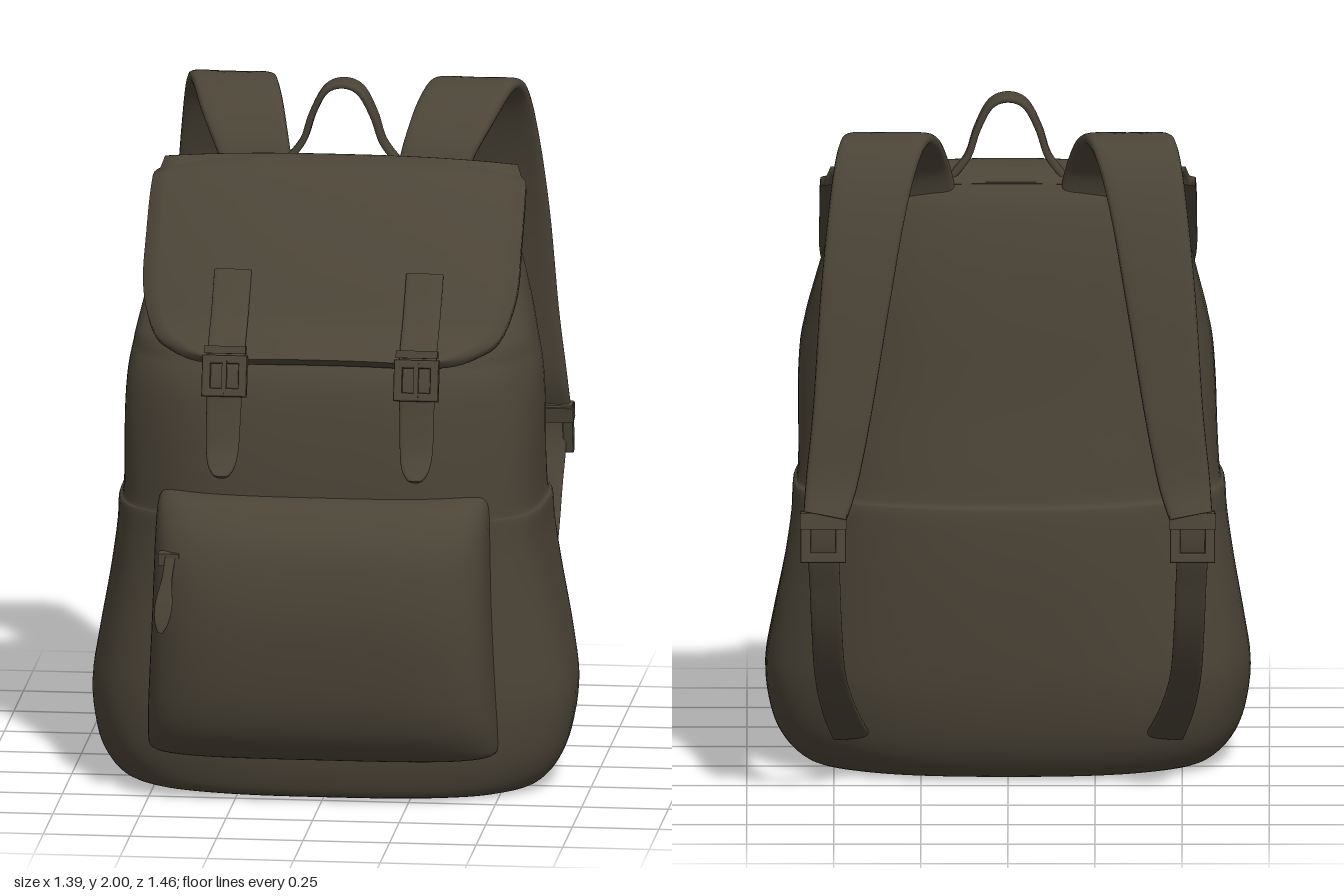
import * as THREE from 'three';

const fabric = new THREE.MeshStandardMaterial({ color: 0x4b4437 });
fabric.name = 'dark olive fabric';
const V = (x, y, z) => new THREE.Vector3(x, y, z);

// Smooth a table of section values into `steps` rows per interval
function smoothRows(rows, steps) {
  const out = [];
  for (let i = 0; i < rows.length - 1; i++) {
    const [a, b, c, d] = [rows[Math.max(i - 1, 0)], rows[i], rows[i + 1], rows[Math.min(i + 2, rows.length - 1)]];
    for (let s = 0; s < steps; s++) {
      const t = s / steps;
      out.push(b.map((_, k) => 0.5 * (2 * b[k] + (c[k] - a[k]) * t
        + (2 * a[k] - 5 * b[k] + 4 * c[k] - d[k]) * t * t
        + (3 * b[k] - a[k] - 3 * c[k] + d[k]) * t * t * t)));
    }
  }
  out.push(rows[rows.length - 1]);
  return out;
}

// Skin closed rings of points, with end caps, facing outwards
function loft(rings) {
  const n = rings[0].length, pts = rings.flat(), idx = [];
  for (let i = 0; i < rings.length - 1; i++) {
    for (let j = 0; j < n; j++) {
      const k = (j + 1) % n, a = i * n, b = a + n;
      idx.push(a + j, a + k, b + k, a + j, b + k, b + j);
    }
  }
  [rings[0], rings[rings.length - 1]].forEach((ring, end) => {
    const start = pts.length;
    pts.push(...ring, ring.reduce((s, p) => s.add(p), V(0, 0, 0)).divideScalar(n));
    for (let j = 0; j < n; j++) {
      const a = start + j, b = start + (j + 1) % n;
      idx.push(start + n, end ? a : b, end ? b : a);
    }
  });
  let volume = 0;
  for (let i = 0; i < idx.length; i += 3) {
    volume += pts[idx[i]].dot(V(0, 0, 0).crossVectors(pts[idx[i + 1]], pts[idx[i + 2]]));
  }
  if (volume < 0) idx.reverse();
  const g = new THREE.BufferGeometry().setFromPoints(pts);
  g.setIndex(idx);
  g.computeVertexNormals();
  return g;
}

const power = (v, n) => Math.sign(v) * Math.abs(v) ** (2 / n);

// Level section with separate fullness at the front and back
function section(y, w, zf, zb, nf, nb, count, wobble = 0) {
  return Array.from({ length: count }, (_, j) => {
    const t = j / count * Math.PI * 2, n = Math.sin(t) > 0 ? nf : nb;
    const s = 1 + wobble * (Math.sin(5 * t + y * 6) + Math.sin(9 * t - y * 4)) * Math.abs(Math.cos(t));
    return V(w * s * power(Math.cos(t), n), y, (zf + zb) / 2 + (zf - zb) / 2 * s * power(Math.sin(t), n));
  });
}

// Strap of changing width along a path; points are [x, y, z, width]
function ribbon(points, thick, axis = V(1, 0, 0), steps = 8) {
  const rows = smoothRows(points, steps);
  return loft(rows.map((r, i) => {
    const p = V(r[0], r[1], r[2]), a = rows[Math.max(i - 1, 0)], b = rows[Math.min(i + 1, rows.length - 1)];
    const T = V(b[0] - a[0], b[1] - a[1], b[2] - a[2]).normalize();
    const W = axis.clone().addScaledVector(T, -axis.dot(T)).normalize(), N = T.clone().cross(W);
    return Array.from({ length: 20 }, (_, j) => {
      const t = j / 20 * Math.PI * 2;
      return p.clone().addScaledVector(W, r[3] / 2 * power(Math.cos(t), 5))
        .addScaledVector(N, thick / 2 * power(Math.sin(t), 3.5));
    });
  }));
}

// Rectangular buckle frame
function frame(w, h, bar, depth) {
  const rect = (S, a, b) => {
    const s = new S();
    s.moveTo(-a, -b); s.lineTo(a, -b); s.lineTo(a, b); s.lineTo(-a, b); s.closePath();
    return s;
  };
  const shape = rect(THREE.Shape, w / 2, h / 2);
  shape.holes.push(rect(THREE.Path, w / 2 - bar, h / 2 - bar));
  return new THREE.ExtrudeGeometry(shape, {
    depth, bevelSize: 0.005, bevelThickness: 0.005, bevelSegments: 2,
  }).translate(0, 0, -depth / 2);
}

export function createModel() {
  const model = new THREE.Group();
  model.name = 'backpack';
  const add = (name, geometry, parent = model) => {
    const m = new THREE.Mesh(geometry, fabric);
    m.name = name;
    parent.add(m);
    return m;
  };

  // Main bag: height, half width, front, back; the lower panel steps out at 0.84
  const bag = [
    [0.005, 0.54, 0.46, -0.13], [0.02, 0.595, 0.495, -0.19], [0.07, 0.645, 0.515, -0.235],
    [0.15, 0.68, 0.53, -0.27], [0.28, 0.697, 0.54, -0.298], [0.42, 0.678, 0.545, -0.31],
    [0.6, 0.645, 0.545, -0.318], [0.74, 0.625, 0.545, -0.318], [0.825, 0.62, 0.545, -0.312],
    [0.845, 0.607, 0.545, -0.297], [0.95, 0.602, 0.545, -0.28], [1.1, 0.6, 0.535, -0.255],
    [1.22, 0.592, 0.515, -0.24], [1.31, 0.575, 0.465, -0.23], [1.4, 0.555, 0.365, -0.217],
    [1.5, 0.53, 0.29, -0.2], [1.6, 0.5, 0.2, -0.175], [1.69, 0.455, 0.105, -0.145], [1.75, 0.4, 0.03, -0.11],
  ];
  add('bag body', loft(smoothRows(bag, 4).map(([y, w, f, b]) =>
    section(y, w, f, b, y > 1.3 ? 3.4 : 3, 2.5, 96, 0.005))));

  // Front pocket: height, half width, front
  const pocket = [
    [0.135, 0.47, 0.55], [0.15, 0.5, 0.6], [0.18, 0.505, 0.635], [0.25, 0.503, 0.68], [0.36, 0.497, 0.712],
    [0.55, 0.487, 0.732], [0.7, 0.482, 0.722], [0.8, 0.48, 0.69], [0.87, 0.477, 0.635], [0.9, 0.465, 0.59], [0.908, 0.445, 0.55],
  ];
  add('front pocket', loft(smoothRows(pocket, 4).map(([y, w, f]) => section(y, w, f, 0.2, 3.8, 4, 80))));

  // Flap: distance forward, height, half width; its sides fall back onto the bag
  const flap = smoothRows([
    [-0.105, 1.735, 0.41], [-0.055, 1.765, 0.47], [0.02, 1.777, 0.53], [0.1, 1.74, 0.54], [0.22, 1.622, 0.542],
    [0.325, 1.495, 0.54], [0.4, 1.395, 0.51], [0.455, 1.345, 0.45], [0.495, 1.31, 0.36], [0.508, 1.298, 0.22],
  ], 5);
  add('top flap', loft(flap.map(([z, y, w], i) => {
    const a = flap[Math.max(i - 1, 0)], b = flap[Math.min(i + 1, flap.length - 1)];
    const N = V(0, b[0] - a[0], a[1] - b[1]).normalize();
    const row = (side) => Array.from({ length: 25 }, (_, j) => {
      const x = (j / 12 - 1) * w;
      const fall = (z > 0 ? 0.055 : 0.02) * Math.abs(x / 0.54) ** 2.5;
      return V(x, y, z).addScaledVector(N, side * 0.014 - fall);
    });
    return [...row(1), ...row(-1).reverse()];
  })));

  // Carry handle
  add('carry handle', ribbon([
    [-0.16, 1.76, -0.065, 0.05], [-0.115, 1.82, -0.065, 0.055], [-0.088, 1.9, -0.062, 0.07],
    [-0.05, 1.97, -0.06, 0.085], [0, 1.99, -0.06, 0.088], [0.05, 1.97, -0.06, 0.085],
    [0.088, 1.9, -0.062, 0.07], [0.115, 1.82, -0.065, 0.055], [0.16, 1.76, -0.065, 0.05],
  ], 0.02, V(0, 0, 1)));

  for (const s of [1, -1]) {
    const side = s > 0 ? 'left' : 'right';
    const mirrored = (pts) => pts.map(([x, ...rest]) => [x * s, ...rest]);

    // Padded shoulder strap
    add(side + ' shoulder strap', ribbon(mirrored([
      [0.24, 1.69, -0.09, 0.19], [0.27, 1.79, -0.13, 0.21], [0.31, 1.88, -0.22, 0.235], [0.345, 1.925, -0.33, 0.24],
      [0.375, 1.89, -0.42, 0.235], [0.405, 1.75, -0.5, 0.22], [0.44, 1.5, -0.575, 0.2],
      [0.475, 1.2, -0.63, 0.17], [0.505, 1.0, -0.66, 0.15], [0.525, 0.9, -0.695, 0.125],
    ]), 0.042));

    // Adjusting webbing down to the base corner
    add(side + ' webbing', ribbon(mirrored([
      [0.53, 0.92, -0.695, 0.09], [0.53, 0.8, -0.69, 0.09], [0.525, 0.68, -0.645, 0.088], [0.52, 0.54, -0.58, 0.088],
      [0.51, 0.38, -0.47, 0.09], [0.485, 0.25, -0.34, 0.1], [0.45, 0.14, -0.2, 0.11],
    ]), 0.02));
    const slider = new THREE.Group();
    slider.name = side + ' strap slider';
    slider.position.set(0.53 * s, 0.84, -0.695);
    slider.rotation.x = 0.2;
    add('slider frame', frame(0.12, 0.14, 0.02, 0.03), slider);
    add('slider bar', new THREE.BoxGeometry(0.135, 0.045, 0.05), slider).position.y = 0.045;
    model.add(slider);

    // Flap closing strap with its hanging tip
    add(side + ' closing strap', ribbon(mirrored([
      [0.277, 1.52, 0.32, 0.108], [0.277, 1.41, 0.407, 0.108], [0.277, 1.33, 0.492, 0.108], [0.277, 1.25, 0.533, 0.104],
      [0.279, 1.15, 0.55, 0.1], [0.28, 1.06, 0.572, 0.095], [0.28, 1.01, 0.595, 0.08],
      [0.28, 0.985, 0.61, 0.05], [0.28, 0.978, 0.614, 0.025],
    ]), 0.02));
    const buckle = new THREE.Group();
    buckle.name = side + ' buckle';
    buckle.position.set(0.277 * s, 1.26, 0.54);
    buckle.rotation.x = -0.25;
    add('buckle frame', frame(0.12, 0.11, 0.015, 0.02), buckle);
    add('buckle prong', new THREE.BoxGeometry(0.014, 0.1, 0.014), buckle).position.z = 0.012;
    add('strap keeper', new THREE.BoxGeometry(0.12, 0.022, 0.034), buckle).position.y = 0.075;
    model.add(buckle);
  }

  // Pocket zip pull
  add('zip slider', new THREE.BoxGeometry(0.06, 0.035, 0.04)).position.set(-0.425, 0.745, 0.655);
  add('zip pull', ribbon([
    [-0.42, 0.75, 0.67, 0.03], [-0.428, 0.69, 0.685, 0.03], [-0.435, 0.62, 0.705, 0.05],
    [-0.44, 0.57, 0.715, 0.04], [-0.443, 0.54, 0.718, 0.015],
  ], 0.018));
  return model;
}
